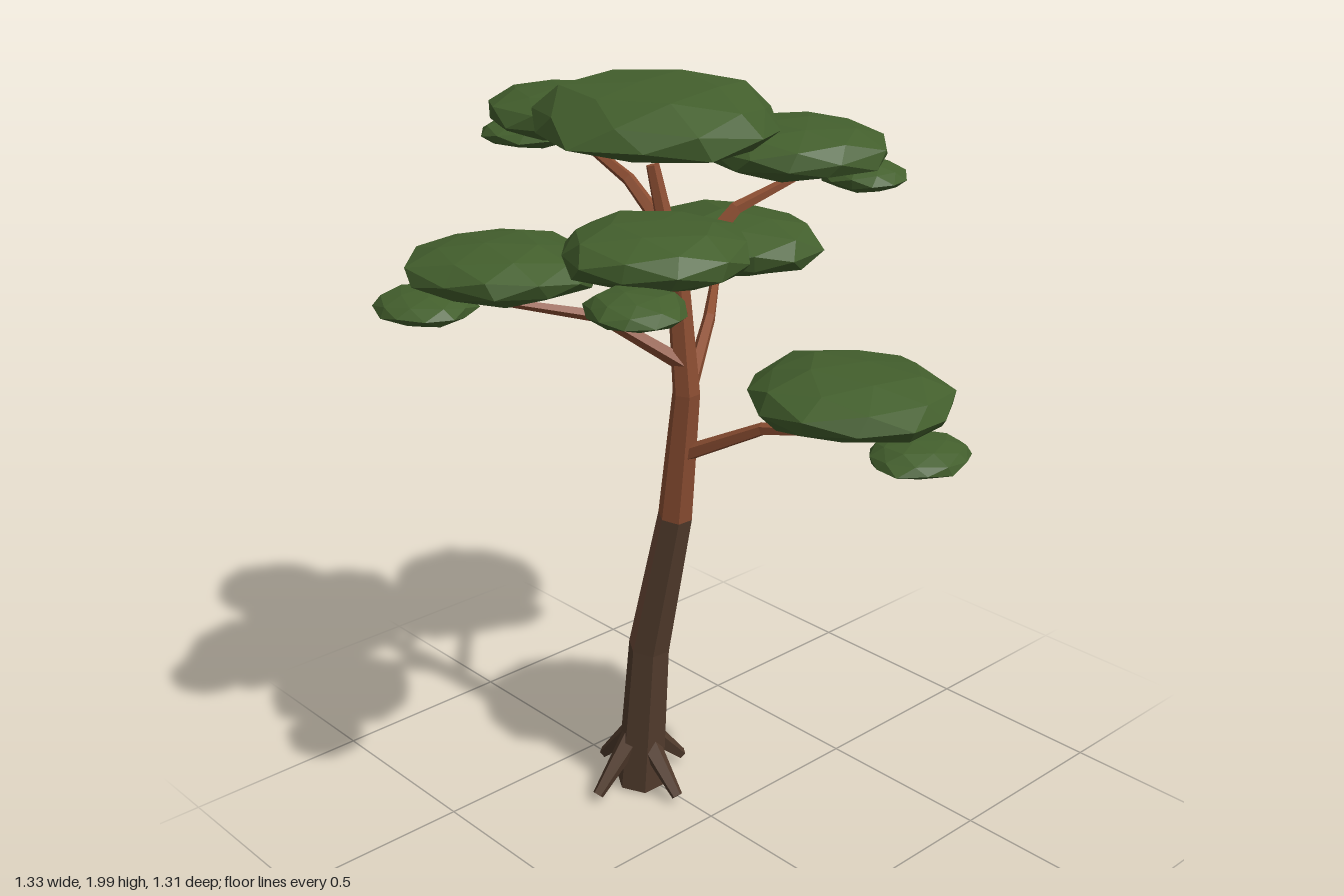
import * as THREE from 'three';

const mat = (name, color) => {
  const m = new THREE.MeshStandardMaterial({ color, flatShading: true });
  m.name = name;
  return m;
};

// Faceted tube through [x, y, z, radius] points; colourOf(segment, side) picks a material index.
function limb(points, sides, ref, phase = 0, colourOf = () => 0) {
  const P = points.map(p => new THREE.Vector3(p[0], p[1], p[2]));
  const rings = P.map((p, i) => {
    const t = P[Math.min(i + 1, P.length - 1)].clone().sub(P[Math.max(i - 1, 0)]).normalize();
    const u = ref.clone().cross(t).normalize();
    const v = t.clone().cross(u);
    return Array.from({ length: sides }, (_, k) => {
      const a = phase + k / sides * Math.PI * 2;
      return p.clone().addScaledVector(u, Math.cos(a) * points[i][3]).addScaledVector(v, Math.sin(a) * points[i][3]);
    });
  });
  const pos = [], geo = new THREE.BufferGeometry();
  const tri = (index, ...corners) => {
    geo.addGroup(pos.length / 3, 3, index);
    corners.forEach(c => pos.push(c.x, c.y, c.z));
  };
  const last = P.length - 1;
  for (let k = 0; k < sides; k++) {
    const n = (k + 1) % sides;
    for (let i = 0; i < last; i++) {
      const a = rings[i], b = rings[i + 1], c = colourOf(i, k);
      tri(c, a[k], a[n], b[n]);
      tri(c, a[k], b[n], b[k]);
    }
    tri(colourOf(0, -1), P[0], rings[0][n], rings[0][k]);
    tri(colourOf(last - 1, -1), P[last], rings[last][k], rings[last][n]);
  }
  geo.setAttribute('position', new THREE.Float32BufferAttribute(pos, 3));
  geo.computeVertexNormals();
  return geo;
}

// Flattened, slightly irregular foliage clump with a shallower underside.
function clump(rx, ry, rz, seed) {
  const geo = new THREE.IcosahedronGeometry(1, 1);
  geo.rotateY(seed * 1.7);
  geo.rotateX(0.25 * Math.sin(seed * 2.3));
  const p = geo.attributes.position, v = new THREE.Vector3();
  for (let i = 0; i < p.count; i++) {
    v.fromBufferAttribute(p, i);
    const wobble = 1 + 0.07 * Math.sin(v.x * 5 + seed) * Math.cos(v.z * 4 + seed * 2) + 0.03 * Math.sin(v.y * 7 + seed * 3);
    v.multiplyScalar(wobble);
    p.setXYZ(i, v.x * rx, v.y * ry * (v.y < 0 ? 0.75 : 1), v.z * rz);
  }
  geo.computeVertexNormals();
  return geo;
}

export function createModel() {
  const tree = new THREE.Group();
  tree.name = 'tree';
  const darkBark = mat('darkBark', 0x523c2d);
  const redBark = mat('redBark', 0x8c4e32);
  const fadedBark = mat('fadedBark', 0x6e4a38);
  const leaf = mat('leafGreen', 0x435f2d);
  const Y = new THREE.Vector3(0, 1, 0), Z = new THREE.Vector3(0, 0, 1);
  const add = (name, geo, material) => {
    const m = new THREE.Mesh(geo, material);
    m.name = name;
    tree.add(m);
    return m;
  };

  // Leaning trunk: dark below, red above, one faded face between
  const trunk = [
    [-0.265, 0.012, 0.025, 0.068], [-0.23, 0.45, 0.015, 0.057], [-0.147, 0.86, -0.01, 0.046],
    [-0.092, 1.22, -0.002, 0.036], [-0.105, 1.5, 0.01, 0.029], [-0.16, 1.79, 0.04, 0.017],
  ];
  const bark = (seg, side) => (seg > 1 ? 1 : seg === 1 && side === 0 ? 2 : 0);
  add('trunk', limb(trunk, 6, Z, Math.PI / 6, bark), [darkBark, redBark, fadedBark]);

  // Four splayed roots
  for (let i = 0; i < 4; i++) {
    const c = Math.cos(i * Math.PI / 2), s = Math.sin(i * Math.PI / 2);
    const at = (d, y, r) => [-0.265 + c * d, y, 0.025 + s * d, r];
    add('root' + (i + 1), limb([at(0.025, 0.165, 0.034), at(0.155, 0.03, 0.016)], 5, Z.clone().set(-s, 0, c)), [darkBark]);
  }

  // Bent branches, tapering outwards
  const branches = [
    [[-0.1, 1.05, -0.01], [0.1, 1.155, -0.08], [0.32, 1.195, -0.13]],
    [[-0.09, 1.2, 0], [-0.24, 1.33, -0.22], [-0.4, 1.395, -0.4]],
    [[-0.09, 1.3, 0.01], [-0.21, 1.43, 0.17], [-0.32, 1.48, 0.36]],
    [[-0.1, 1.42, 0.01], [0, 1.55, 0.14], [0.13, 1.615, 0.29]],
    [[-0.1, 1.53, 0], [-0.06, 1.67, -0.14], [0, 1.735, -0.29]],
    [[-0.125, 1.62, 0.02], [-0.25, 1.74, 0.04], [-0.42, 1.82, 0.06]],
  ];
  const radii = [0.022, 0.017, 0.011];
  branches.forEach((b, i) =>
    add('branch' + (i + 1), limb(b.map((p, k) => [...p, radii[k]]), 5, Y), [redBark]));

  // Foliage: centre x, y, z then radii x, y, z
  const clumps = [
    [-0.16, 1.895, 0.03, 0.33, 0.105, 0.29],
    [0.32, 1.28, -0.155, 0.27, 0.085, 0.25], [0.55, 1.205, -0.14, 0.115, 0.042, 0.13],
    [-0.39, 1.465, -0.42, 0.275, 0.09, 0.24], [-0.45, 1.385, -0.52, 0.15, 0.045, 0.12],
    [-0.355, 1.555, 0.35, 0.245, 0.078, 0.225], [-0.41, 1.49, 0.54, 0.13, 0.045, 0.12],
    [0.13, 1.685, 0.29, 0.23, 0.078, 0.22], [0.265, 1.625, 0.47, 0.12, 0.045, 0.11],
    [0, 1.805, -0.28, 0.23, 0.078, 0.23], [0.11, 1.735, -0.41, 0.11, 0.045, 0.1],
    [-0.43, 1.875, 0.07, 0.225, 0.075, 0.19], [-0.51, 1.825, 0.13, 0.13, 0.04, 0.12],
    [-0.36, 1.785, -0.11, 0.145, 0.05, 0.135],
  ];
  clumps.forEach(([x, y, z, rx, ry, rz], i) =>
    add('foliage' + (i + 1), clump(rx, ry, rz, i + 1), leaf).position.set(x, y, z));

  return tree;
}
